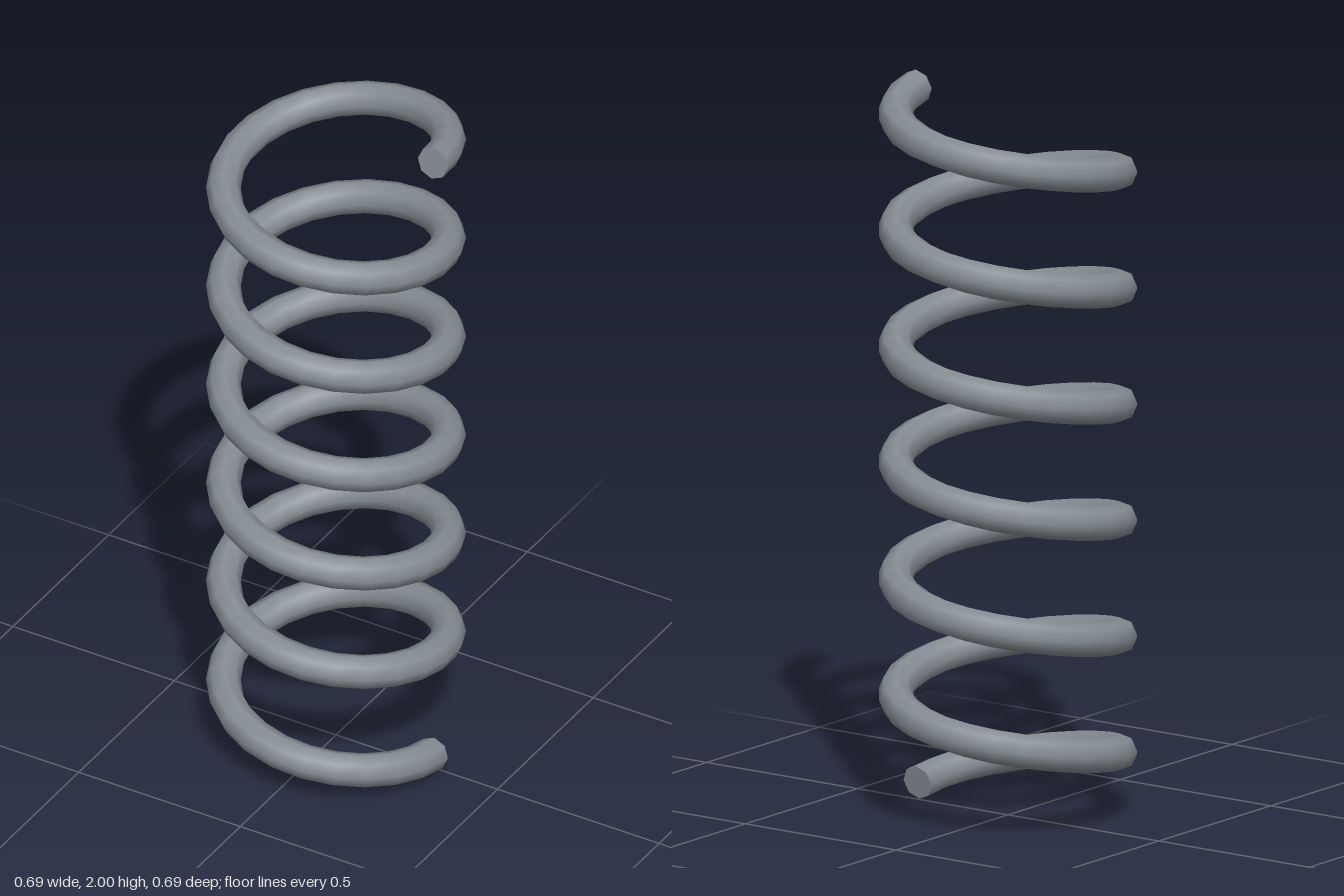
import * as THREE from 'three';

const TURNS = 6, STEPS = 24 * TURNS, SIDES = 8;
const COIL_R = 0.3, WIRE_R = 0.0465;
const Y0 = 0.046, Y1 = 1.954;
const CLIMB = (Y1 - Y0) / (TURNS * Math.PI * 2); // rise per radian

// Centre and axes (outward, up, forward) of the wire at t in 0..1
function frameAt(t) {
  const a = t * TURNS * Math.PI * 2;
  const out = new THREE.Vector3(Math.cos(a), 0, Math.sin(a));
  const forward = new THREE.Vector3(-Math.sin(a) * COIL_R, CLIMB, Math.cos(a) * COIL_R).normalize();
  const up = new THREE.Vector3().crossVectors(forward, out);
  const centre = out.clone().multiplyScalar(COIL_R).setY(Y0 + CLIMB * a);
  return { out, up, forward, centre };
}

// Octagonal wire swept along the helix
function wireGeometry() {
  const positions = [], normals = [], index = [];
  for (let i = 0; i <= STEPS; i++) {
    const { out, up, centre } = frameAt(i / STEPS);
    for (let j = 0; j < SIDES; j++) {
      const b = (j / SIDES) * Math.PI * 2;
      const n = out.clone().multiplyScalar(Math.cos(b)).addScaledVector(up, Math.sin(b));
      const p = centre.clone().addScaledVector(n, WIRE_R);
      positions.push(p.x, p.y, p.z);
      normals.push(n.x, n.y, n.z);
      if (i < STEPS) {
        const k = i * SIDES + j, m = i * SIDES + (j + 1) % SIDES;
        index.push(k, m, k + SIDES, m, m + SIDES, k + SIDES);
      }
    }
  }
  const g = new THREE.BufferGeometry();
  g.setAttribute('position', new THREE.Float32BufferAttribute(positions, 3));
  g.setAttribute('normal', new THREE.Float32BufferAttribute(normals, 3));
  g.setIndex(index);
  return g;
}

// Flat cut end of the wire; sign -1 faces backwards along it
function endGeometry(t, sign) {
  const { out, up, forward, centre } = frameAt(t);
  const m = new THREE.Matrix4().makeBasis(out, up.multiplyScalar(sign), forward.multiplyScalar(sign));
  return new THREE.CircleGeometry(WIRE_R, SIDES).applyMatrix4(m.setPosition(centre));
}

export function createModel() {
  const steel = new THREE.MeshStandardMaterial({ color: 0x848d93 });
  steel.name = 'steel grey';
  const group = new THREE.Group();
  group.name = 'coilSpring';
  const add = (name, geometry) => {
    const mesh = new THREE.Mesh(geometry, steel);
    mesh.name = name;
    group.add(mesh);
  };
  add('coil', wireGeometry());
  add('bottomEnd', endGeometry(0, -1));
  add('topEnd', endGeometry(1, 1));
  return group;
}
